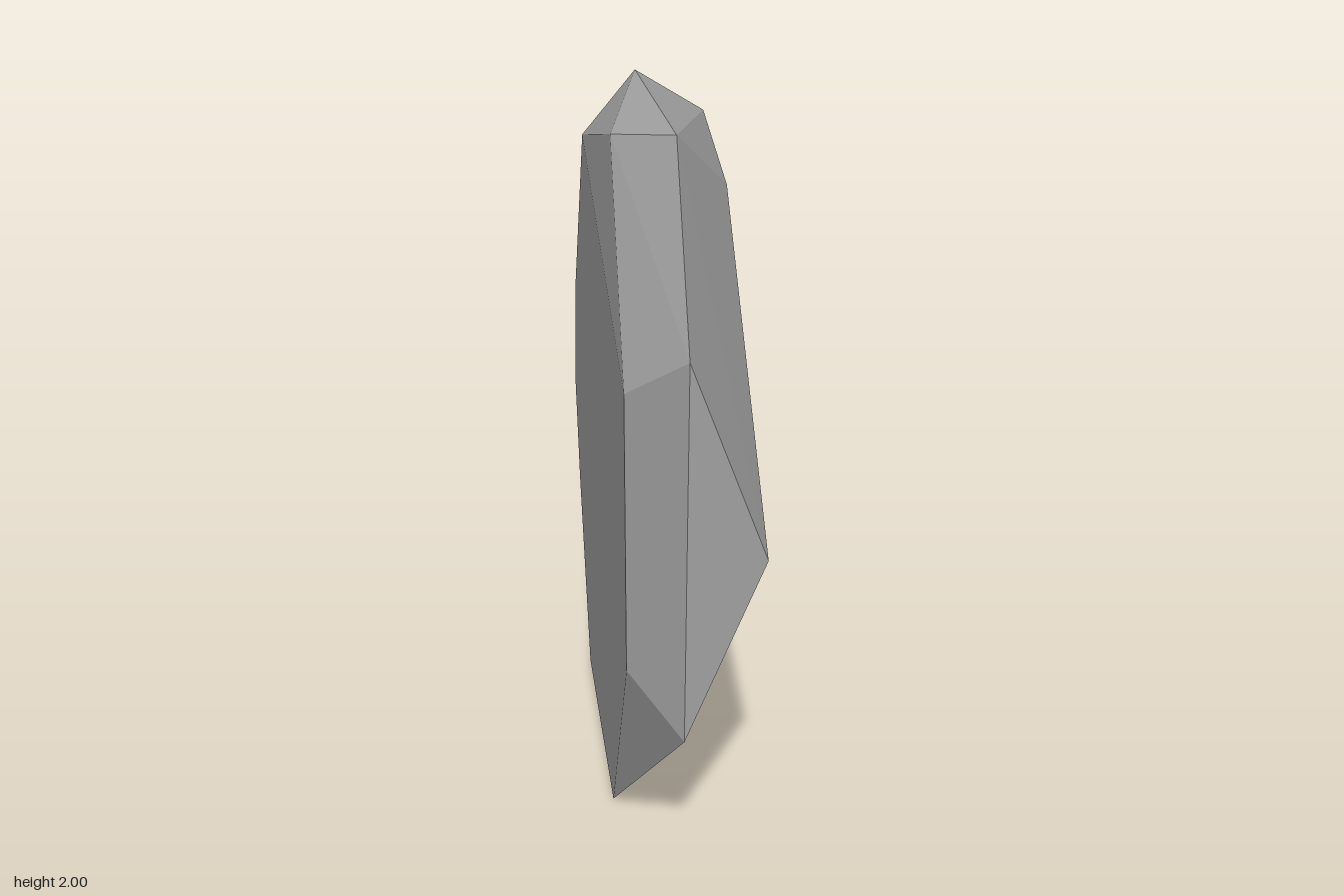
import * as THREE from 'three';
import { ConvexGeometry } from 'three/addons/geometries/ConvexGeometry.js';

const stone = new THREE.MeshStandardMaterial({ color: 0xa0a0a0, flatShading: true });
stone.name = 'grey stone';

// Half thickness of the slab-like rock
const T = 0.163;

// Corners of the two broad flat sides, as [z, y]
const leftSide = [[0.71, 1.0], [0.1, 1.76], [-0.26, 1.88], [-0.63, 1.63], [-0.54, 0.23], [-0.04, 0.23]];
const rightSide = [[-0.32, 1.81], [-0.62, 1.3], [-0.71, 0.96], [-0.62, 0.64], [-0.39, 0.09],
  [0.23, 0], [0.57, 0.64], [0.57, 1.39]];

// Corners along the chipped rim between the sides, as [x, y, z]
const rim = [[-0.03, 2, -0.215], [0, 1.935, 0.31], [-0.135, 1.9, 0.11], [-0.03, 1.51, 0.705], [-0.035, 0.5, 0.7]];

export function createModel() {
  const group = new THREE.Group();
  group.name = 'rock';

  // Faceted boulder spanning all the corners
  const corners = [
    ...leftSide.map(([z, y]) => new THREE.Vector3(T, y, z)),
    ...rightSide.map(([z, y]) => new THREE.Vector3(-T, y, z)),
    ...rim.map((p) => new THREE.Vector3(...p)),
  ];
  const boulder = new THREE.Mesh(new ConvexGeometry(corners), stone);
  boulder.name = 'boulder';
  group.add(boulder);
  return group;
}
